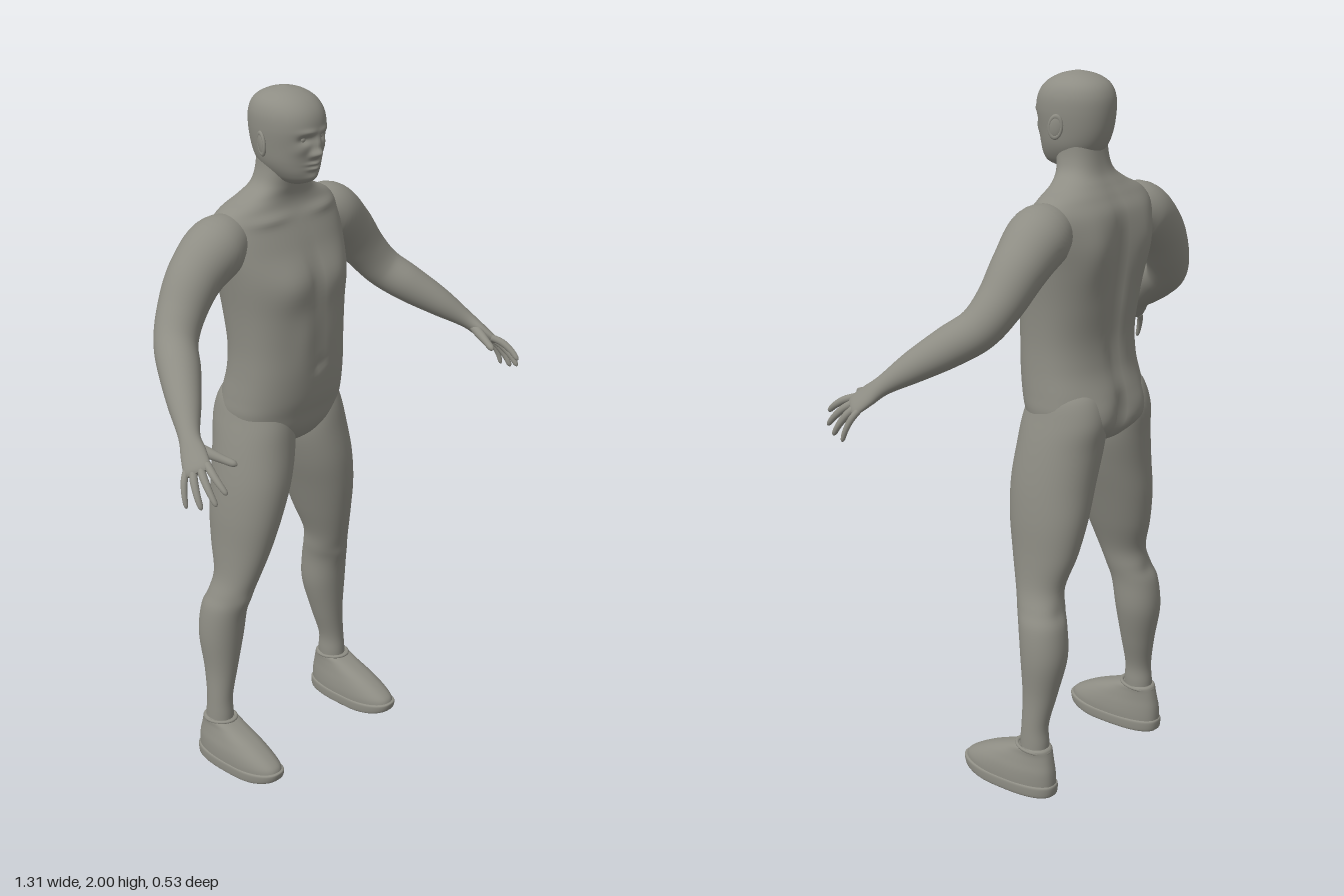
import * as THREE from 'three';

const skin = new THREE.MeshStandardMaterial({ color: 0x8e8d84 });
skin.name = 'stone grey';

// Smooth interpolation through rows of numbers, t in 0..1
function sample(rows, t) {
  const p = Math.min(t, 1) * (rows.length - 1);
  const i = Math.min(Math.floor(p), rows.length - 2), f = p - i;
  const a = rows[Math.max(i - 1, 0)], b = rows[i], c = rows[i + 1], d = rows[Math.min(i + 2, rows.length - 1)];
  return b.map((_, k) => {
    const m0 = (c[k] - a[k]) / 2, m1 = (d[k] - b[k]) / 2;
    return (2 * f ** 3 - 3 * f * f + 1) * b[k] + (f ** 3 - 2 * f * f + f) * m0
      + (3 * f * f - 2 * f ** 3) * c[k] + (f ** 3 - f * f) * m1;
  });
}

// Closed skin over rings: ring(t) returns a function from angle to point
function skinOver(nu, nv, ring) {
  const pos = [], idx = [];
  const ends = [];
  for (let i = 0; i <= nu; i++) {
    const at = ring(i / nu), mid = new THREE.Vector3();
    for (let j = 0; j < nv; j++) {
      const p = at((j / nv) * Math.PI * 2);
      pos.push(p.x, p.y, p.z);
      mid.addScaledVector(p, 1 / nv);
      const a = i * nv + j, b = i * nv + (j + 1) % nv;
      if (i < nu) idx.push(a, a + nv, b, b, a + nv, b + nv);
    }
    if (i === 0 || i === nu) ends.push(mid);
  }
  const n = pos.length / 3;
  ends.forEach((m) => pos.push(m.x, m.y, m.z));
  for (let j = 0; j < nv; j++) {
    const k = (j + 1) % nv;
    idx.push(n, j, k, n + 1, nu * nv + k, nu * nv + j);
  }
  const g = new THREE.BufferGeometry();
  g.setAttribute('position', new THREE.Float32BufferAttribute(pos, 3));
  g.setIndex(idx);
  g.computeVertexNormals();
  return g;
}

const spow = (v, e) => Math.sign(v) * Math.abs(v) ** e;

// Soft pushes along z, mirrored in x: [x, y, z, spreadX, spreadY, spreadZ, push]
function sculpt(p, bumps) {
  let dz = 0;
  for (const [x, y, z, sx, sy, sz, push] of bumps) {
    dz += push * Math.exp(-(((Math.abs(p.x) - x) / sx) ** 2) - ((p.y - y) / sy) ** 2 - ((p.z - z) / sz) ** 2);
  }
  p.z += dz;
  return p;
}

// Upright loft; rows are [y, centreX, halfWidth, frontZ, backZ]
function loft(rows, nu, nv, e = 1, bumps = []) {
  return skinOver(nu, nv, (t) => {
    const [y, cx, w, zf, zb] = sample(rows, t);
    return (a) => sculpt(new THREE.Vector3(cx + w * spow(Math.cos(a), e), y,
      (zf + zb) / 2 + ((zf - zb) / 2) * spow(Math.sin(a), e)), bumps);
  });
}

// Limb along a path; rows are [x, y, z, radius across the palm, radius through it]
const palmAxis = new THREE.Vector3(0.56, -0.4, -0.72).normalize();
function limb(rows, nu, nv) {
  const at = (t) => new THREE.Vector3(...sample(rows, Math.min(Math.max(t, 0), 1)));
  return skinOver(nu, nv, (t) => {
    const [x, y, z, rw, rt] = sample(rows, t);
    const T = at(t + 0.01).sub(at(t - 0.01)).normalize();
    const N = palmAxis.clone().addScaledVector(T, -palmAxis.dot(T)).normalize();
    const B = N.clone().cross(T);
    return (a) => new THREE.Vector3(x, y, z).addScaledVector(N, rw * Math.cos(a)).addScaledVector(B, rt * Math.sin(a));
  });
}

function mirrored(g) {
  const m = g.clone();
  m.scale(-1, 1, 1);
  const ix = m.index.array;
  for (let i = 0; i < ix.length; i += 3) [ix[i], ix[i + 1]] = [ix[i + 1], ix[i]];
  return m;
}

export function createModel() {
  const model = new THREE.Group();
  model.name = 'standingFigure';
  const add = (name, g) => {
    const mesh = new THREE.Mesh(g, skin);
    mesh.name = name;
    model.add(mesh);
  };
  const pair = (name, g) => {
    add('left' + name, g);
    add('right' + name, mirrored(g));
  };

  // Torso and neck
  add('torso', loft([
    [0.985, 0, 0.03, -0.07, -0.17], [1.01, 0, 0.1, -0.03, -0.215], [1.05, 0, 0.172, -0.003, -0.245],
    [1.1, 0, 0.187, 0.01, -0.252], [1.15, 0, 0.185, 0.022, -0.248], [1.22, 0, 0.18, 0.029, -0.23],
    [1.3, 0, 0.179, 0.03, -0.225], [1.4, 0, 0.187, 0.03, -0.238], [1.5, 0, 0.202, 0.022, -0.248],
    [1.58, 0, 0.215, -0.008, -0.25], [1.64, 0, 0.215, -0.035, -0.242], [1.68, 0, 0.19, -0.055, -0.22],
    [1.71, 0, 0.13, -0.06, -0.2], [1.74, 0, 0.088, -0.055, -0.182], [1.78, 0, 0.073, -0.048, -0.172],
    [1.84, 0, 0.07, -0.05, -0.165],
  ], 90, 72, 0.85, [
    [0.085, 1.48, 0.02, 0.07, 0.06, 0.08, 0.014], // chest
    [0, 1.5, 0.02, 0.018, 0.07, 0.06, -0.006], // breastbone
    [0, 1.24, 0.03, 0.014, 0.014, 0.04, -0.008], // navel
    [0.05, 1.32, 0.03, 0.035, 0.08, 0.04, 0.005], // abdomen
    [0.11, 1.66, -0.05, 0.07, 0.014, 0.05, 0.008], // collarbone
    [0.11, 1.55, -0.25, 0.06, 0.09, 0.08, -0.018], // shoulder blade
    [0, 1.42, -0.25, 0.025, 0.2, 0.08, 0.02], // spine
    [0.085, 1.08, -0.25, 0.06, 0.06, 0.08, -0.018], // buttock
    [0, 1.06, -0.25, 0.018, 0.07, 0.08, 0.03], // cleft
  ]));

  // Head with sculpted face
  add('head', loft([
    [1.745, 0, 0.02, -0.035, -0.1], [1.758, 0, 0.045, -0.004, -0.13], [1.78, 0, 0.063, 0.008, -0.155],
    [1.81, 0, 0.077, 0.012, -0.178], [1.85, 0, 0.085, 0.017, -0.193], [1.9, 0, 0.091, 0.024, -0.2],
    [1.94, 0, 0.089, 0.016, -0.197], [1.97, 0, 0.075, -0.008, -0.18], [1.99, 0, 0.046, -0.045, -0.145],
    [2.0, 0, 0.005, -0.088, -0.1],
  ], 110, 100, 0.95, [
    [0, 1.838, 0.02, 0.013, 0.013, 0.04, 0.022], // nose tip
    [0, 1.863, 0.02, 0.01, 0.02, 0.04, 0.013], // nose bridge
    [0.015, 1.834, 0.02, 0.007, 0.008, 0.04, 0.007], // nostrils
    [0.034, 1.877, 0.02, 0.017, 0.011, 0.04, -0.013], // eye sockets
    [0.03, 1.897, 0.02, 0.025, 0.008, 0.04, 0.005], // brow
    [0, 1.81, 0.015, 0.022, 0.005, 0.04, 0.009], // upper lip
    [0, 1.796, 0.015, 0.02, 0.006, 0.04, 0.009], // lower lip
    [0, 1.77, 0.01, 0.022, 0.012, 0.04, 0.007], // chin
    [0.047, 1.85, 0, 0.018, 0.016, 0.04, 0.004], // cheek
  ]));
  pair('Eye', new THREE.SphereGeometry(0.011, 20, 14).translate(0.033, 1.877, -0.005));

  // Ears: a tilted shell and a rim
  const ear = (g) => g.rotateY(Math.PI / 2 + 0.35).rotateX(-0.15).translate(0.094, 1.862, -0.092);
  pair('Ear', ear(new THREE.SphereGeometry(1, 20, 14).scale(0.019, 0.029, 0.006)));
  pair('EarRim', ear(new THREE.TorusGeometry(0.017, 0.0045, 10, 28).scale(1, 1.6, 1)));

  // Arm with palm
  pair('Arm', limb([
    [0.14, 1.605, -0.14, 0.06, 0.06], [0.215, 1.598, -0.14, 0.087, 0.084], [0.3, 1.535, -0.142, 0.077, 0.075],
    [0.365, 1.455, -0.13, 0.066, 0.064], [0.415, 1.39, -0.1, 0.059, 0.058], [0.46, 1.342, -0.04, 0.056, 0.054],
    [0.515, 1.288, 0.033, 0.044, 0.042], [0.563, 1.237, 0.098, 0.029, 0.025], [0.585, 1.206, 0.135, 0.035, 0.019],
    [0.603, 1.18, 0.165, 0.037, 0.014], [0.609, 1.171, 0.175, 0.03, 0.008],
  ], 80, 40));

  // Fingers fan out from the knuckles, index to little
  const tips = [[0.6, 1.14, 0.268], [0.621, 1.11, 0.252], [0.638, 1.094, 0.215], [0.649, 1.088, 0.172]];
  tips.forEach((tip, i) => {
    const k = i / 3, r = i === 3 ? 0.0085 : 0.01;
    const base = new THREE.Vector3(0.584, 1.193, 0.182).lerp(new THREE.Vector3(0.617, 1.172, 0.14), k);
    const end = new THREE.Vector3(...tip);
    const rows = [[0, 1], [0.35, 1.05], [0.7, 0.9], [0.93, 0.7], [1, 0.2]].map(([s, q]) => {
      const p = base.clone().lerp(end, s);
      const bow = 0.03 * s * (1 - s);
      return [p.x + bow, p.y + bow, p.z, r * q, r * q];
    });
    pair('Finger' + (i + 1), limb(rows, 20, 14));
  });
  pair('Thumb', limb([
    [0.57, 1.222, 0.118, 0.012, 0.014], [0.556, 1.206, 0.16, 0.014, 0.014], [0.542, 1.195, 0.195, 0.011, 0.011],
    [0.53, 1.187, 0.222, 0.009, 0.009], [0.526, 1.184, 0.231, 0.002, 0.002],
  ], 24, 16));

  // Leg
  pair('Leg', loft([
    [0.08, 0.25, 0.036, -0.1, -0.185], [0.15, 0.248, 0.037, -0.1, -0.186], [0.21, 0.246, 0.036, -0.104, -0.183],
    [0.3, 0.232, 0.047, -0.1, -0.2], [0.41, 0.222, 0.064, -0.09, -0.222], [0.5, 0.216, 0.064, -0.078, -0.216],
    [0.55, 0.204, 0.06, -0.064, -0.202], [0.61, 0.19, 0.057, -0.043, -0.192], [0.7, 0.17, 0.07, -0.018, -0.218],
    [0.8, 0.151, 0.086, 0.002, -0.235], [0.9, 0.129, 0.099, 0.01, -0.24], [1.0, 0.108, 0.104, 0.003, -0.248],
    [1.08, 0.1, 0.094, -0.008, -0.256], [1.15, 0.093, 0.08, -0.035, -0.235], [1.19, 0.09, 0.04, -0.08, -0.19],
  ], 80, 44, 0.95, [
    [0.208, 0.53, -0.06, 0.035, 0.035, 0.04, 0.008], // kneecap
    [0.208, 0.545, -0.2, 0.03, 0.03, 0.04, 0.006], // back of knee
  ]));

  // Shoes, with the toe lifted off the ground
  const spring = (g) => {
    const p = g.attributes.position;
    for (let i = 0; i < p.count; i++) {
      const z = p.getZ(i), y = p.getY(i);
      if (z > -0.02) p.setY(i, y + 1.3 * (z + 0.02) ** 2 * Math.max(0, 1 - y / 0.1));
    }
    g.computeVertexNormals();
    return g;
  };
  pair('ShoeSole', spring(loft([
    [0, 0.251, 0.054, 0.085, -0.207], [0.006, 0.251, 0.06, 0.1, -0.214], [0.03, 0.251, 0.061, 0.105, -0.216],
    [0.036, 0.251, 0.057, 0.098, -0.211],
  ], 16, 56, 0.8)));
  pair('ShoeUpper', spring(loft([
    [0.025, 0.251, 0.058, 0.1, -0.212], [0.05, 0.251, 0.058, 0.092, -0.212], [0.075, 0.251, 0.055, 0.064, -0.21],
    [0.1, 0.25, 0.049, 0.02, -0.205], [0.122, 0.249, 0.044, -0.035, -0.2], [0.138, 0.249, 0.042, -0.078, -0.195],
    [0.143, 0.249, 0.036, -0.095, -0.188],
  ], 36, 56, 0.85)));
  // Shoe collar
  pair('ShoeCollar', new THREE.TorusGeometry(0.04, 0.005, 10, 36).rotateX(Math.PI / 2).scale(1, 1, 1.3)
    .rotateX(-0.12).translate(0.249, 0.138, -0.14));

  return model;
}
